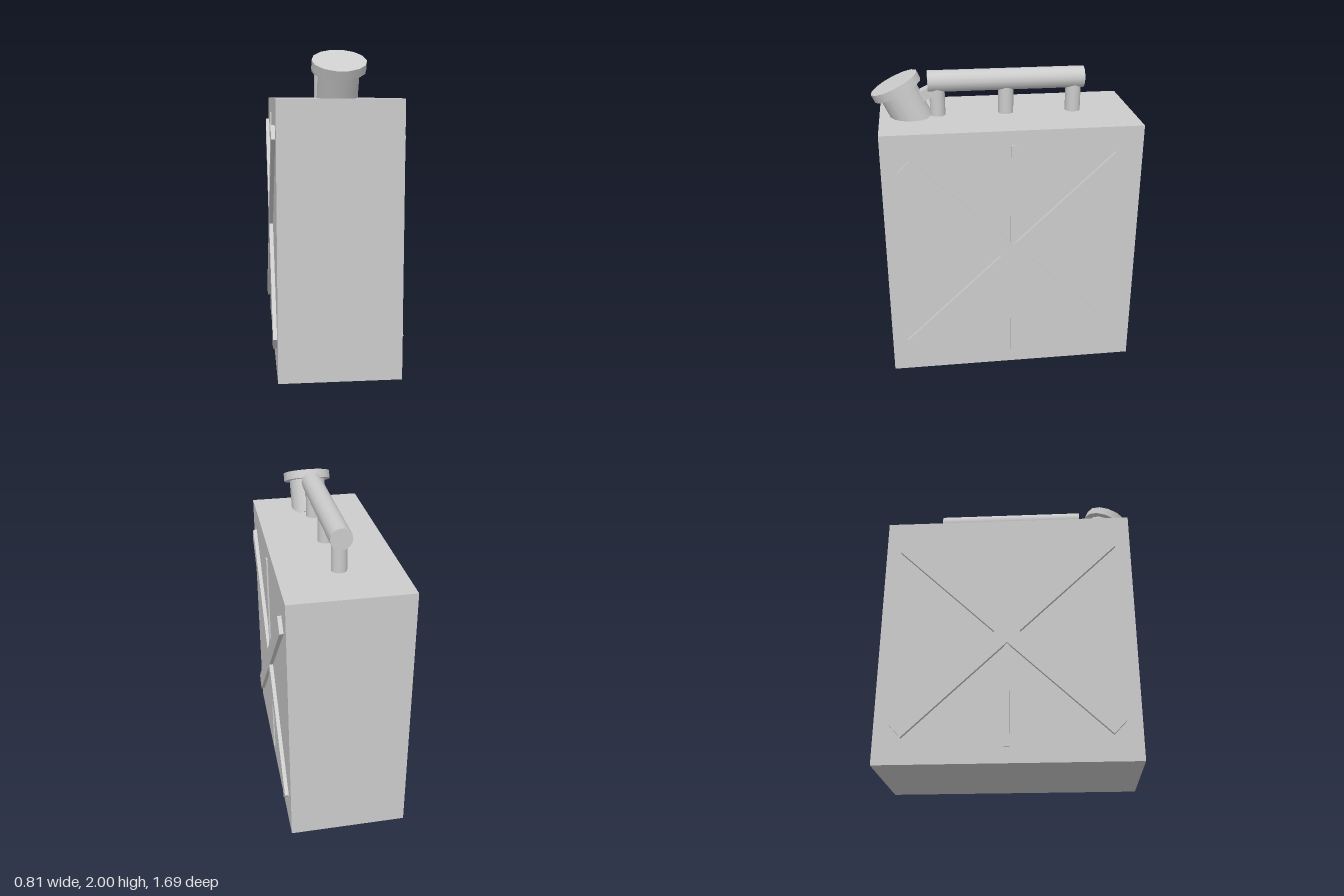
import * as THREE from 'three';

const SIDES = 14;
const MID_Z = -0.022;

export function createModel() {
  const model = new THREE.Group();
  model.name = 'fuelCan';
  const grey = new THREE.MeshStandardMaterial({ color: 0xcccccc });
  grey.name = 'light grey';

  function add(parent, name, geometry, x, y, z) {
    const mesh = new THREE.Mesh(geometry, grey);
    mesh.name = name;
    mesh.position.set(x, y, z);
    parent.add(mesh);
    return mesh;
  }
  // upright cylinder with flats facing front and back
  const tube = (r, h) =>
    new THREE.CylinderGeometry(r, r, h, SIDES).rotateY(Math.PI / SIDES);

  // Body
  add(model, 'body', new THREE.BoxGeometry(0.76, 1.71, 1.645), 0, 0.855, MID_Z);

  // Raised ribs on both sides: a broad cross and a thin, lower upright
  for (const side of [1, -1]) {
    const name = side > 0 ? 'left' : 'right';
    for (const tilt of [1, -1]) {
      const rib = add(model, name + 'CrossRib', new THREE.BoxGeometry(0.05, 0.11, 1.893),
        side * 0.38, 0.857, MID_Z);
      rib.rotation.x = tilt * 0.762;
    }
    add(model, name + 'UprightRib', new THREE.BoxGeometry(0.03, 1.515, 0.036),
      side * 0.375, 0.857, MID_Z);
  }

  // Handle bar on three posts
  add(model, 'handleBar', tube(0.069, 1.01).rotateX(Math.PI / 2), 0, 1.931, MID_Z + 0.002);
  for (const z of [0.425, -0.018, -0.461]) {
    add(model, 'handlePost', tube(0.05, 0.22), 0, 1.8, z);
  }

  // Tilted spout: cap, neck and the link to the handle
  const spout = new THREE.Group();
  spout.name = 'spout';
  spout.position.set(0, 1.931, 0.697);
  spout.rotation.x = 0.441;
  model.add(spout);
  add(spout, 'cap', tube(0.164, 0.055), 0, -0.0275, 0);
  add(spout, 'neck', tube(0.125, 0.23), 0, -0.17, 0);
  add(spout, 'capLink', new THREE.BoxGeometry(0.08, 0.066, 0.1), 0, -0.153, -0.157);

  return model;
}
